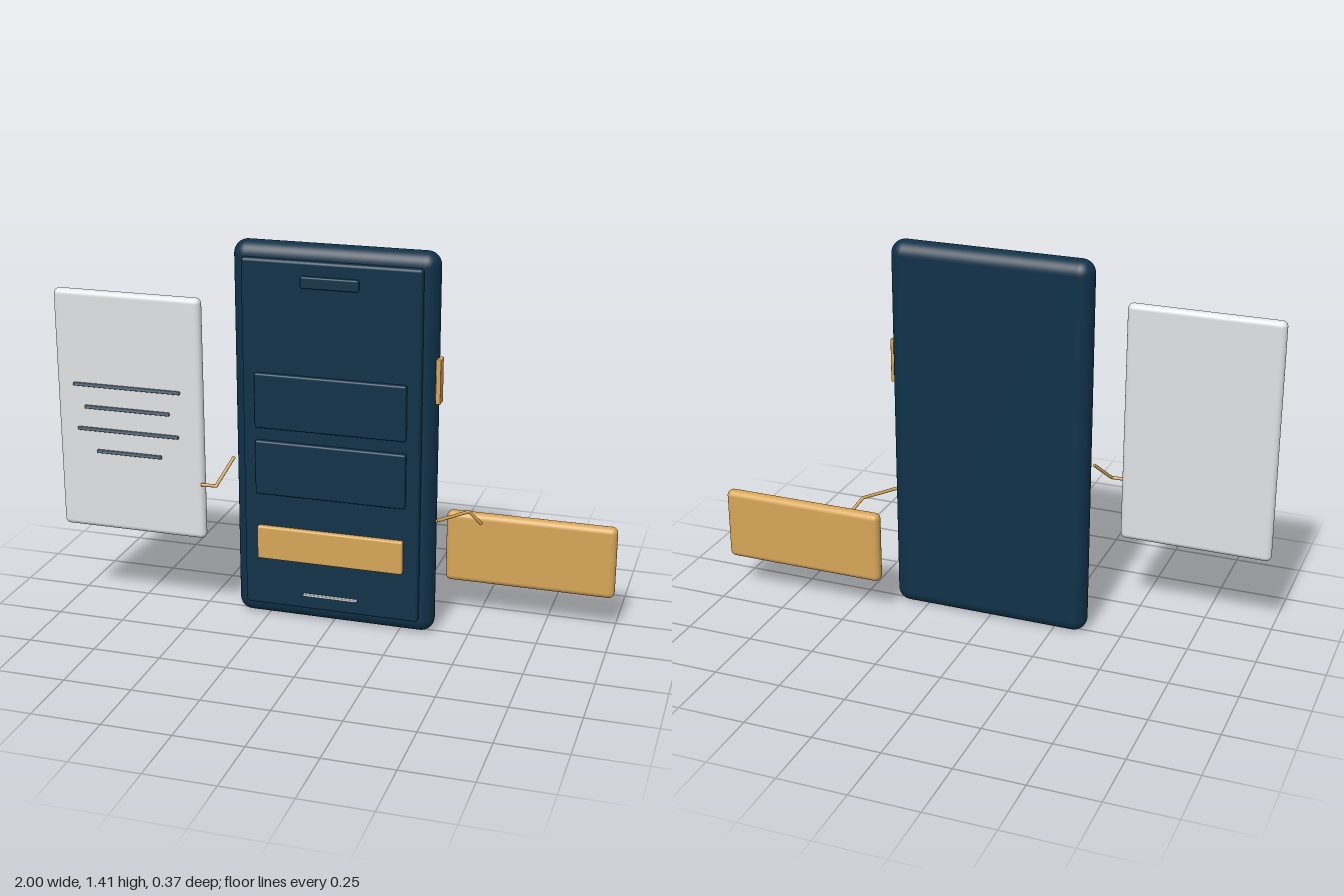
import * as THREE from 'three';
import { RoundedBoxGeometry } from 'three/addons/geometries/RoundedBoxGeometry.js';

function material(name, color) {
  const m = new THREE.MeshStandardMaterial({ color });
  m.name = name;
  return m;
}

export function createModel() {
  const model = new THREE.Group();
  model.name = 'phoneWithFloatingCards';
  const navy = material('navy', 0x0f3148);
  const gold = material('gold', 0xd6a557);
  const paper = material('paper', 0xdfe2e4);
  const slate = material('slate', 0x5c7285);

  // Rounded slab given by its low and high corners
  function slab(name, mat, [x0, y0, z0], [x1, y1, z1], radius, segments = 4) {
    const geometry = new RoundedBoxGeometry(x1 - x0, y1 - y0, z1 - z0, segments, radius);
    const mesh = new THREE.Mesh(geometry, mat);
    mesh.position.set((x0 + x1) / 2, (y0 + y1) / 2, (z0 + z1) / 2);
    mesh.name = name;
    model.add(mesh);
  }

  // Thin rod bent at straight corners
  function connector(name, points, radius) {
    const group = new THREE.Group();
    group.name = name;
    const p = points.map((v) => new THREE.Vector3(...v));
    for (let i = 0; i < p.length - 1; i++) {
      const dir = p[i + 1].clone().sub(p[i]);
      const rod = new THREE.Mesh(new THREE.CylinderGeometry(radius, radius, dir.length(), 10), gold);
      rod.position.copy(p[i]).add(p[i + 1]).multiplyScalar(0.5);
      rod.quaternion.setFromUnitVectors(new THREE.Vector3(0, 1, 0), dir.normalize());
      rod.name = name + 'Rod';
      group.add(rod);
      if (i > 0) {
        const joint = new THREE.Mesh(new THREE.SphereGeometry(radius, 10, 8), gold);
        joint.position.copy(p[i]);
        joint.name = name + 'Joint';
        group.add(joint);
      }
    }
    model.add(group);
  }

  // Phone body, screen and side button
  slab('body', navy, [-0.37, 0, -0.05], [0.374, 1.41, 0.05], 0.05, 6);
  slab('screen', navy, [-0.324, 0.057, 0.045], [0.328, 1.36, 0.077], 0.011);
  slab('sideButton', gold, [0.368, 0.875, -0.012], [0.386, 1.038, 0.031], 0.003, 2);

  // Raised screen details
  slab('speaker', navy, [-0.103, 1.268, 0.072], [0.106, 1.31, 0.092], 0.006);
  for (const y of [0.748, 0.497]) {
    slab('panel', navy, [-0.275, y, 0.072], [0.28, y + 0.203, 0.096], 0.007);
  }
  slab('actionButton', gold, [-0.27, 0.247, 0.076], [0.274, 0.373, 0.1], 0.007);
  slab('homeBar', paper, [-0.1, 0.111, 0.076], [0.104, 0.12, 0.089], 0.003, 2);

  // Floating document with its text rules
  slab('document', paper, [-1, 0.327, 0.132], [-0.444, 1.224, 0.174], 0.02);
  for (const [x0, x1, y] of [[-0.932, -0.523, 0.878], [-0.892, -0.565, 0.795],
    [-0.923, -0.533, 0.711], [-0.851, -0.6, 0.629]]) {
    slab('textRule', slate, [x0, y - 0.006, 0.17], [x1, y + 0.006, 0.184], 0.003, 2);
  }

  // Floating gold card
  slab('card', gold, [0.377, 0.141, -0.186], [1, 0.413, -0.138], 0.022);

  // Bent connectors
  connector('documentConnector', [[-0.45, 0.543, 0.18], [-0.394, 0.543, 0.178], [-0.358, 0.625, 0.083]], 0.006);
  connector('cardConnector', [[0.38, 0.44, 0.025], [0.47, 0.438, -0.102], [0.51, 0.384, -0.132]], 0.006);

  return model;
}
